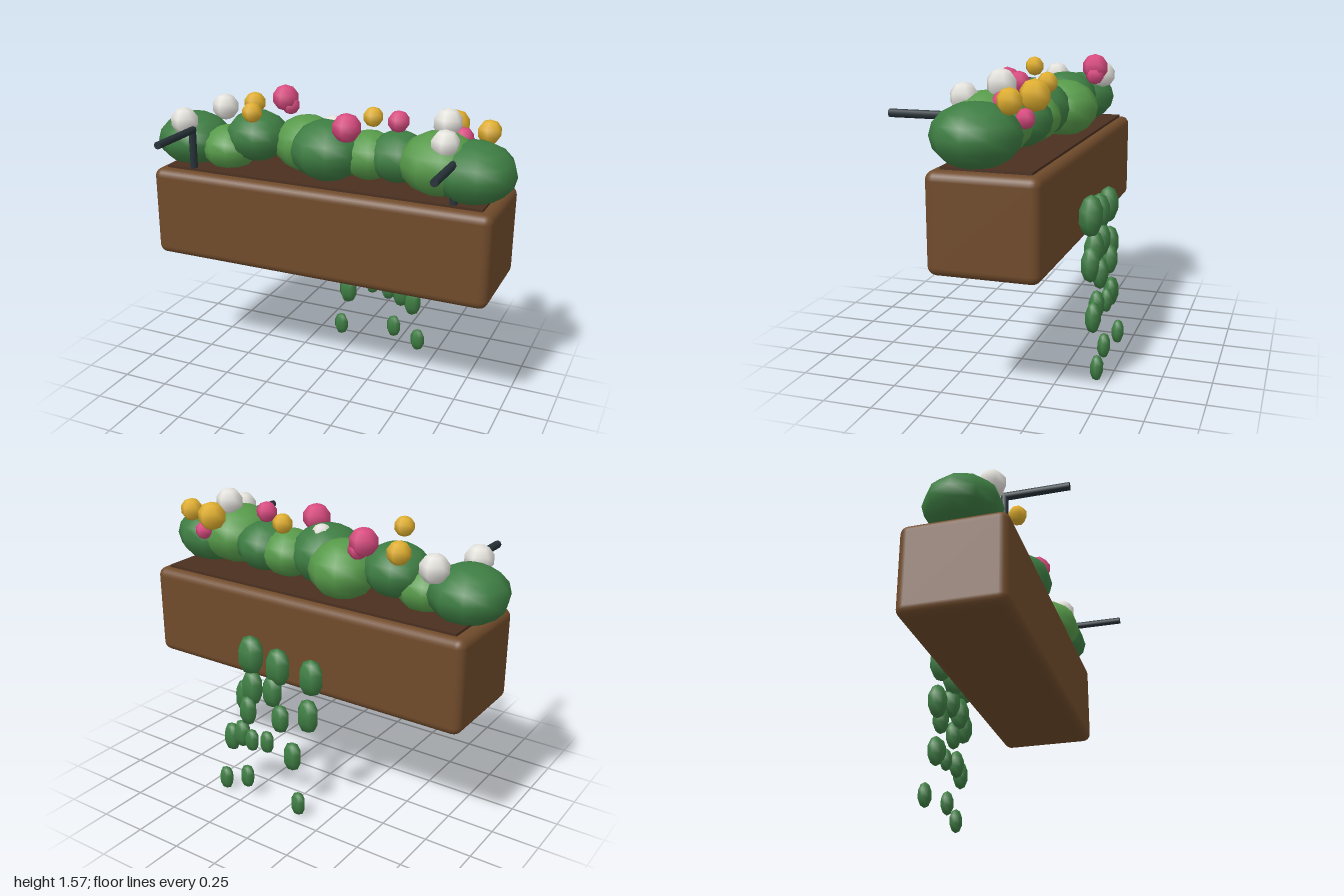
import * as THREE from 'three';
import { RoundedBoxGeometry } from 'three/addons/geometries/RoundedBoxGeometry.js';

const material = (name, color) => {
  const m = new THREE.MeshStandardMaterial({ color });
  m.name = name;
  return m;
};

export function createModel() {
  const wood = material('wood', 0x704b2b);
  const soilBrown = material('soil brown', 0x4a3020);
  const iron = material('iron', 0x263238);
  const darkGreen = material('dark green', 0x3e7d43);
  const lightGreen = material('light green', 0x579a4a);
  const pink = material('pink', 0xd84a7f);
  const yellow = material('yellow', 0xdfae2f);
  const white = material('white', 0xe4e2dc);

  const model = new THREE.Group();
  model.name = 'flowerBox';

  const add = (parent, name, geometry, mat, x, y, z) => {
    const mesh = new THREE.Mesh(geometry, mat);
    mesh.name = name;
    mesh.position.set(x, y, z);
    parent.add(mesh);
    return mesh;
  };
  const group = (name) => {
    const g = new THREE.Group();
    g.name = name;
    model.add(g);
    return g;
  };

  // Planter trough and soil
  add(model, 'trough', new RoundedBoxGeometry(1.86, 0.485, 0.54, 3, 0.045), wood, 0.01, 0.903, -0.04);
  add(model, 'soil', new THREE.BoxGeometry(1.74, 0.06, 0.43), soilBrown, 0.01, 1.128, -0.045);

  // Hanging hooks: an upright and an arm reaching forward
  const hooks = group('hooks');
  for (const x of [-0.705, 0.73]) {
    add(hooks, 'hookUpright', new THREE.CylinderGeometry(0.02, 0.02, 0.23, 8), iron, x, 1.26, 0.15);
    const arm = add(hooks, 'hookArm', new THREE.CylinderGeometry(0.02, 0.02, 0.335, 8), iron, x, 1.362, 0.308);
    arm.rotation.x = Math.PI / 2;
  }

  // Bushes: x, y, z, radius, half height, alternating greens
  const bushes = group('bushes');
  const bushGeometry = new THREE.SphereGeometry(1, 10, 8);
  [
    [-0.8, 1.268, -0.03, 0.2, 0.145],
    [-0.57, 1.247, -0.01, 0.155, 0.12],
    [-0.42, 1.32, -0.045, 0.17, 0.135],
    [-0.155, 1.29, -0.11, 0.18, 0.15],
    [0.02, 1.305, 0.01, 0.2, 0.157],
    [0.225, 1.29, -0.04, 0.155, 0.125],
    [0.38, 1.3, -0.04, 0.16, 0.13],
    [0.62, 1.315, 0.03, 0.205, 0.158],
    [0.79, 1.29, 0.03, 0.212, 0.153],
  ].forEach(([x, y, z, r, h], i) => {
    add(bushes, 'bush', bushGeometry, i % 2 ? lightGreen : darkGreen, x, y, z).scale.set(r, h, r);
  });

  // Blossoms: colour, x, y, z, radius
  const blossoms = group('blossoms');
  const blossomGeometry = new THREE.SphereGeometry(1, 6, 5);
  blossomGeometry.rotateY(Math.PI / 6);
  for (const [mat, x, y, z, r] of [
    [white, -0.777, 1.395, 0.107, 0.074],
    [white, -0.697, 1.415, -0.19, 0.074],
    [white, 0.025, 1.42, -0.04, 0.055],
    [white, 0.63, 1.5, -0.035, 0.074],
    [white, 0.67, 1.44, 0.13, 0.072],
    [yellow, -0.51, 1.455, -0.19, 0.06],
    [yellow, -0.36, 1.485, 0.12, 0.053],
    [yellow, 0.208, 1.465, -0.125, 0.053],
    [yellow, 0.623, 1.455, -0.19, 0.076],
    [yellow, 0.812, 1.45, -0.135, 0.062],
    [pink, -0.343, 1.49, -0.23, 0.072],
    [pink, -0.315, 1.45, -0.235, 0.05],
    [pink, 0.155, 1.455, 0.1, 0.075],
    [pink, 0.378, 1.48, -0.035, 0.056],
    [pink, 0.7, 1.425, -0.065, 0.055],
    [pink, 0.7, 1.36, -0.17, 0.048],
  ]) add(blossoms, 'blossom', blossomGeometry, mat, x, y, z).scale.setScalar(r);

  // Trailing leaves behind the trough: x, y, z, half width, half height
  const leaves = group('trailingLeaves');
  const leafGeometry = new THREE.SphereGeometry(1, 6, 5);
  for (const [x, y, z, w, h] of [
    [0.25, 0.815, -0.365, 0.08, 0.11],
    [0.077, 0.79, -0.365, 0.075, 0.105],
    [-0.13, 0.785, -0.365, 0.073, 0.1],
    [0.235, 0.64, -0.38, 0.066, 0.1],
    [0.1, 0.655, -0.385, 0.062, 0.09],
    [0.285, 0.575, -0.375, 0.064, 0.095],
    [-0.12, 0.575, -0.38, 0.064, 0.095],
    [0.24, 0.52, -0.415, 0.054, 0.085],
    [0.03, 0.53, -0.415, 0.055, 0.08],
    [0.36, 0.325, -0.41, 0.052, 0.083],
    [0.29, 0.365, -0.41, 0.052, 0.08],
    [0.2, 0.365, -0.44, 0.043, 0.065],
    [0.1, 0.385, -0.44, 0.043, 0.065],
    [-0.04, 0.33, -0.41, 0.055, 0.083],
    [0.24, 0.132, -0.44, 0.044, 0.068],
    [0.39, 0.073, -0.44, 0.044, 0.068],
    [-0.095, 0.08, -0.44, 0.044, 0.068],
  ]) add(leaves, 'leaf', leafGeometry, darkGreen, x, y, z).scale.set(w, h, w * 0.8);

  return model;
}
